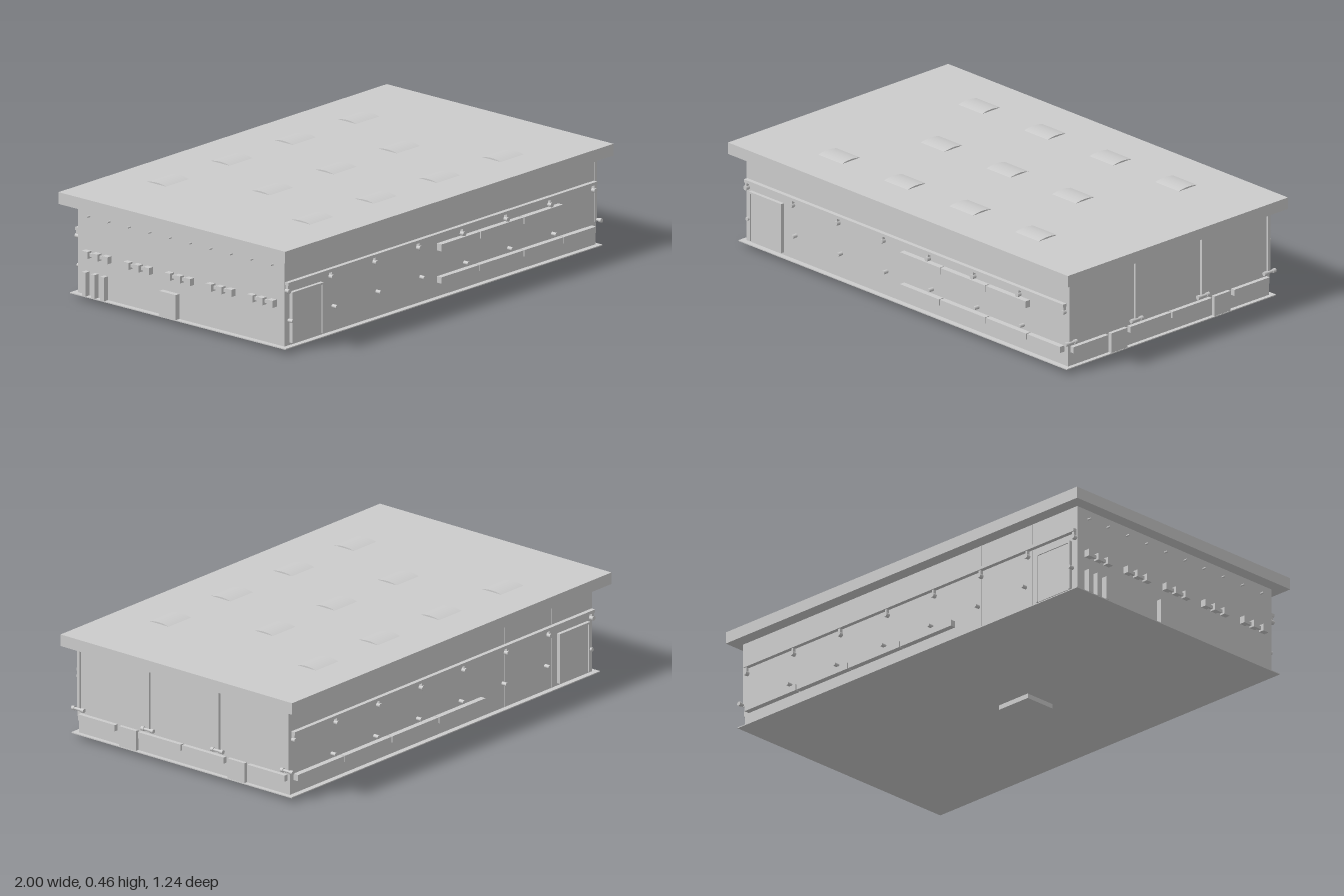
import * as THREE from 'three';

const mat = new THREE.MeshStandardMaterial({ color: 0xcccccc });

export function createModel() {
  const root = new THREE.Group();

  // Box given by its min / max along each axis
  function box(name, x0, x1, y0, y1, z0, z1, parent = root) {
    const m = new THREE.Mesh(new THREE.BoxGeometry(x1 - x0, y1 - y0, z1 - z0), mat);
    m.name = name;
    m.position.set((x0 + x1) / 2, (y0 + y1) / 2, (z0 + z1) / 2);
    parent.add(m);
    return m;
  }

  // Rod of radius r and length l along one axis
  function rod(name, axis, r, l, x, y, z, parent = root) {
    const m = new THREE.Mesh(new THREE.CylinderGeometry(r, r, l, 12), mat);
    m.name = name;
    if (axis === 'x') m.rotation.z = Math.PI / 2;
    if (axis === 'z') m.rotation.x = Math.PI / 2;
    m.position.set(x, y, z);
    parent.add(m);
    return m;
  }

  // Main volumes
  box('roofSlab', -1, 1, 0.4, 0.45, -0.62, 0.615);
  box('walls', -0.945, 0.947, 0.02, 0.4, -0.563, 0.563);
  box('basePlate', -0.968, 0.965, 0.02, 0.024, -0.587, 0.587);
  box('sump', -0.11, 0.055, 0, 0.02, 0, 0.142);

  // Curved skylights
  const arc = new THREE.Shape();
  arc.moveTo(-0.053, 0);
  arc.quadraticCurveTo(0, 0.014, 0.053, 0);
  arc.closePath();
  const skylight = new THREE.ExtrudeGeometry(arc, { depth: 0.14, bevelEnabled: false, curveSegments: 12 });
  skylight.translate(0, 0, -0.07).rotateY(Math.PI / 2);
  const rows = [
    [-0.396, [-0.582, -0.195, 0.19, 0.577]],
    [-0.002, [-0.39, -0.003, 0.384]],
    [0.39, [-0.582, -0.195, 0.19, 0.577]],
  ];
  for (const [z, xs] of rows) for (const x of xs) {
    const m = new THREE.Mesh(skylight, mat);
    m.name = 'skylight';
    m.position.set(x, 0.4495, z);
    root.add(m);
  }

  // Long walls: rail with hangers, and a row of wall pins
  for (const s of [1, -1]) {
    const side = new THREE.Group();
    side.name = s > 0 ? 'frontFittings' : 'backFittings';
    root.add(side);
    box('rail', -0.942, 0.938, 0.284, 0.297, s * 0.572 - 0.01, s * 0.572 + 0.01, side);
    for (let i = 0; i < 8; i++) {
      const x = -0.935 + i * 0.2665;
      box('railHanger', x - 0.005, x + 0.005, 0.262, 0.286, s * 0.569 - 0.008, s * 0.569 + 0.008, side);
      rod('hangerPin', 'z', 0.01, 0.022, x, 0.26, s * 0.571, side);
      if (i < 7) rod('wallPin', 'z', 0.008, 0.03, -0.92 + i * 0.2675, 0.13, s * 0.572, side);
    }
  }

  // Bumper boards along the long walls
  for (const [x0, x1] of [[-0.017, 0.218], [0.222, 0.483], [0.488, 0.722]])
    box('upperBoard', x0, x1, 0.22, 0.25, 0.56, 0.588);
  for (const [x0, x1] of [[-0.017, 0.213], [0.218, 0.483], [0.488, 0.725], [0.73, 0.925]])
    box('lowerBoard', x0, x1, 0.083, 0.11, 0.56, 0.588);
  for (let i = 0; i < 4; i++)
    box('backBoard', -0.25 + i * 0.295, 0.04 + i * 0.295, 0.083, 0.11, -0.588, -0.56);

  // Doors with raised frames
  for (const s of [1, -1]) {
    const door = new THREE.Group();
    door.name = s > 0 ? 'frontDoor' : 'backDoor';
    root.add(door);
    const z = s * 0.568;
    box('doorLeaf', -0.91, -0.73, 0.035, 0.245, z - 0.006, z + 0.006, door);
    for (const x of [-0.912, -0.729])
      box('doorJamb', x - 0.004, x + 0.004, 0.035, 0.25, z - 0.011, z + 0.011, door);
    box('doorHead', -0.916, -0.725, 0.242, 0.25, z - 0.011, z + 0.011, door);
  }
  for (const x of [-0.4, -0.69])
    box('backSeam', x - 0.002, x + 0.002, 0.024, 0.4, -0.565, -0.56);

  // Right-hand end: posts with round-ended feet
  for (const z of [0.557, 0.187, -0.185, -0.557]) {
    box('post', 0.94, 0.957, 0.12, 0.4, z - 0.007, z + 0.007);
    rod('postFoot', 'z', 0.006, 0.05, 0.957, 0.128, z);
    for (const e of [-1, 1]) rod('footEnd', 'z', 0.009, 0.014, 0.957, 0.128, z + e * 0.025);
  }
  for (const [z0, z1] of [[0.355, 0.55], [0.004, 0.23], [-0.226, -0.004], [-0.55, -0.352]])
    box('endBoard', 0.94, 0.966, 0.083, 0.11, z0, z1);
  for (const z of [0.29, -0.289])
    box('endBlock', 0.94, 0.963, 0.022, 0.11, z - 0.045, z + 0.045);

  // Opposite end: toothed brackets, pins, hatch and ground brackets
  for (let i = 0; i < 5; i++) {
    const z = -0.45 + i * 0.225;
    box('bracketBar', -0.957, -0.94, 0.193, 0.207, z - 0.065, z + 0.065);
    for (const d of [-0.055, 0, 0.055])
      box('bracketTooth', -0.97, -0.94, 0.185, 0.215, z + d - 0.015, z + d + 0.015);
  }
  for (let i = 0; i < 10; i++)
    rod('endPin', 'x', 0.004, 0.03, -0.947, 0.36, -0.5 + i * 0.111);
  box('endHatch', -0.968, -0.94, 0.024, 0.13, -0.1, -0.01);
  for (const z of [-0.51, -0.46, -0.41])
    box('groundBracket', -0.97, -0.94, 0.024, 0.125, z - 0.01, z + 0.01);

  return root;
}
